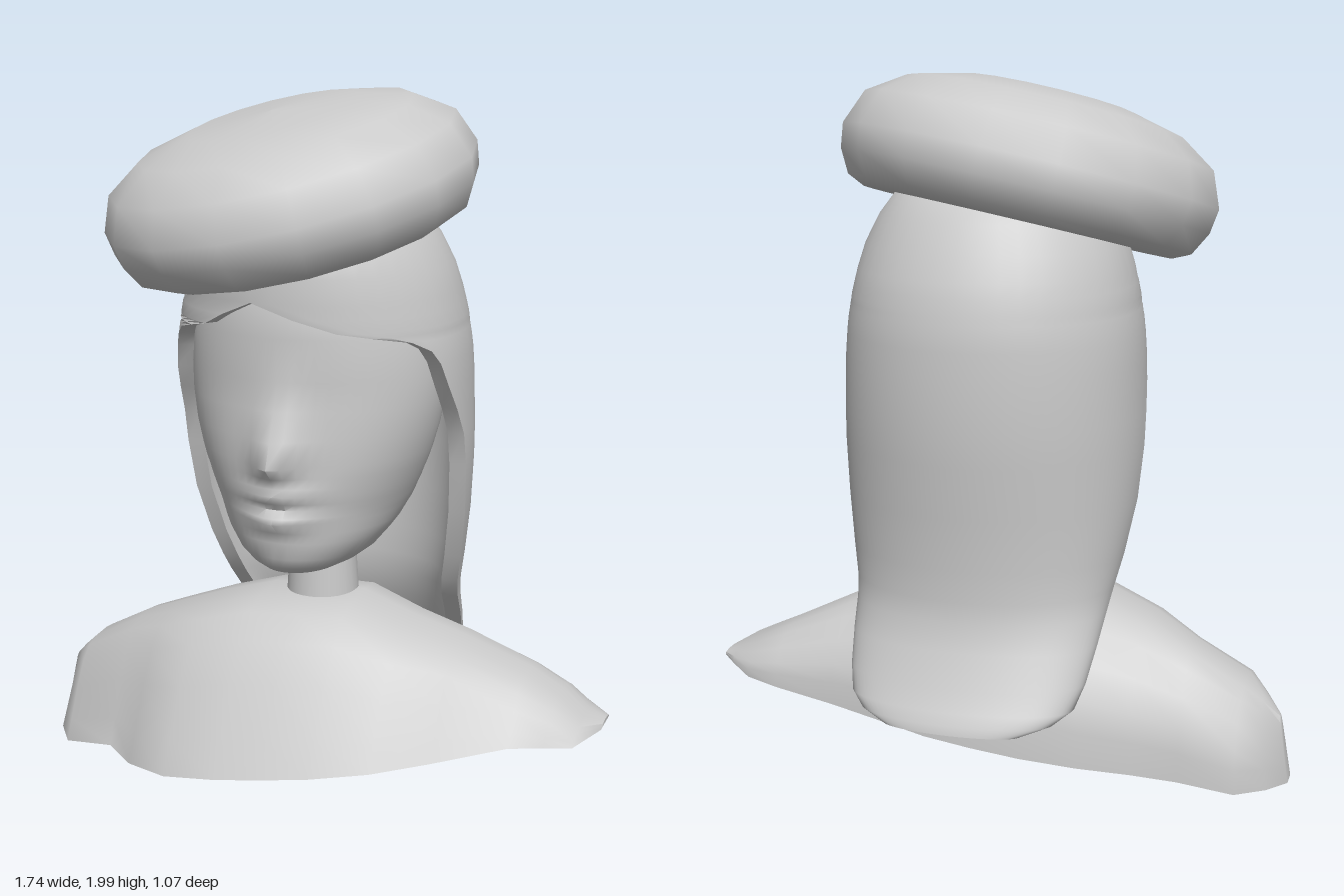
import * as THREE from 'three';
import { toCreasedNormals } from 'three/addons/utils/BufferGeometryUtils.js';

const material = new THREE.MeshStandardMaterial({ color: 0xcccccc });

// Skin closed rings of [x, y, z] points; rings run counter-clockwise about the loft direction.
function loft(rings, { caps = true, crease = 0.9 } = {}) {
  const n = rings[0].length, pos = rings.flat(2), idx = [];
  for (let i = 0; i < rings.length - 1; i++) {
    for (let j = 0; j < n; j++) {
      const a = i * n + j, b = i * n + (j + 1) % n;
      idx.push(a, b, b + n, a, b + n, a + n);
    }
  }
  if (caps) {
    [0, rings.length - 1].forEach((r, end) => {
      const centre = pos.length / 3;
      for (let k = 0; k < 3; k++) pos.push(rings[r].reduce((s, p) => s + p[k], 0) / n);
      for (let j = 0; j < n; j++) {
        const a = r * n + j, b = r * n + (j + 1) % n;
        idx.push(centre, end ? a : b, end ? b : a);
      }
    });
  }
  const geo = new THREE.BufferGeometry();
  geo.setAttribute('position', new THREE.Float32BufferAttribute(pos, 3));
  geo.setIndex(idx);
  return toCreasedNormals(geo, crease);
}

function add(group, name, geometry) {
  const mesh = new THREE.Mesh(geometry, material);
  mesh.name = name;
  group.add(mesh);
  return mesh;
}

// Head: [y, half width, front z, back z, depth of nose or lip on the centre line]
function headGeometry() {
  const rows = [
    [0.663, 0.06, 0.25, 0.12, 0], [0.67, 0.11, 0.275, 0.06, 0], [0.69, 0.155, 0.3, 0, 0],
    [0.72, 0.195, 0.315, -0.03, 0], [0.77, 0.235, 0.325, -0.07, 0], [0.8, 0.255, 0.325, -0.1, 0.005],
    [0.835, 0.272, 0.33, -0.13, 0.04], [0.85, 0.28, 0.33, -0.14, 0.035], [0.872, 0.29, 0.332, -0.16, 0.012],
    [0.89, 0.297, 0.335, -0.18, 0.02], [0.915, 0.308, 0.337, -0.2, 0.036], [0.935, 0.315, 0.338, -0.21, 0.022],
    [0.965, 0.327, 0.34, -0.23, 0.035], [1.0, 0.338, 0.34, -0.25, 0.075], [1.07, 0.357, 0.337, -0.28, 0.05],
    [1.15, 0.369, 0.33, -0.31, 0.022], [1.23, 0.372, 0.325, -0.33, 0.002], [1.35, 0.36, 0.335, -0.33, 0],
    [1.47, 0.32, 0.32, -0.31, 0], [1.6, 0.24, 0.25, -0.24, 0],
  ];
  const n = 64;
  return loft(rows.map(([y, w, front, back, bump]) => {
    const cz = Math.max(0, back + 0.3 * (front - back));
    const sigma = y > 0.95 ? 0.065 : 0.09;
    return Array.from({ length: n }, (_, j) => {
      const a = (j / n) * Math.PI * 2, c = Math.cos(a), x = w * Math.sin(a);
      const z = cz + c * (c > 0 ? front - cz : cz - back);
      return [0.01 + x, y, z + (c > 0 ? bump * Math.exp(-((x / sigma) ** 2)) : 0)];
    });
  }), { crease: 1.2 });
}

// Hair shell: [y, half width, front edge z, back z]; each section is a thick C open to the front
function hairGeometry() {
  const rows = [
    [0.215, 0.2, -0.47, -0.525], [0.24, 0.28, -0.42, -0.52], [0.27, 0.325, -0.37, -0.5],
    [0.33, 0.345, -0.32, -0.475], [0.42, 0.36, -0.25, -0.435], [0.5, 0.37, -0.18, -0.413],
    [0.56, 0.38, -0.14, -0.41], [0.65, 0.4, -0.1, -0.413], [0.8, 0.425, -0.05, -0.425],
    [0.95, 0.435, -0.02, -0.443], [1.05, 0.435, 0.0, -0.45], [1.13, 0.432, 0.04, -0.452],
    [1.2, 0.43, 0.08, -0.452], [1.27, 0.425, 0.11, -0.45], [1.31, 0.42, 0.14, -0.448],
    [1.34, 0.415, 0.19, -0.443], [1.36, 0.412, 0.27, -0.44], [1.375, 0.41, 0.32, -0.437],
    [1.41, 0.402, 0.355, -0.43], [1.45, 0.392, 0.37, -0.418], [1.52, 0.37, 0.37, -0.39],
    [1.6, 0.33, 0.36, -0.35], [1.66, 0.285, 0.3, -0.31], [1.74, 0.18, 0.18, -0.2],
  ];
  const n = 40;
  return loft(rows.map(([y, w, edge, back], i) => {
    const cz = Math.min(-0.03, edge);
    const front = y >= 1.45 ? edge - cz : 0.4;
    const open = y >= 1.45 ? Math.PI : Math.acos(-Math.min(1, (edge - cz) / front));
    const shift = 0.17 * THREE.MathUtils.clamp((y - 1.33) / 0.1, 0, 1);
    const thick = i === 0 ? 0 : Math.min(0.05, 0.02 * i);
    const arc = (t) => Array.from({ length: n + 1 }, (_, j) => {
      const a = open * (1 - (2 * j) / n) + shift, c = Math.cos(a);
      const depth = c > 0 ? cz - back - t : front - t;
      return [0.015 + (w - t) * Math.sin(a), y, cz - depth * Math.sign(c) * Math.abs(c) ** 0.92];
    });
    return [...arc(0), ...arc(thick).reverse()];
  }), { caps: false, crease: 1.1 });
}

// Shoulders: [x, top y, front z, back z], sections along x cut by a slanting base
function shouldersGeometry() {
  const rows = [
    [-0.87, 0.2, -0.03, -0.09], [-0.82, 0.25, 0.1, -0.17], [-0.74, 0.295, 0.215, -0.25],
    [-0.58, 0.38, 0.24, -0.255], [-0.45, 0.435, 0.37, -0.28], [-0.3, 0.49, 0.45, -0.32],
    [-0.14, 0.535, 0.46, -0.345], [0, 0.54, 0.45, -0.35], [0.14, 0.54, 0.43, -0.345],
    [0.3, 0.48, 0.38, -0.31], [0.45, 0.43, 0.29, -0.28], [0.64, 0.345, 0.16, -0.255],
    [0.74, 0.295, 0.15, -0.23], [0.82, 0.25, 0.14, -0.16], [0.87, 0.225, 0.0, -0.11],
  ];
  // unit arch from back to front: [depth, height]
  const arch = [[-1, 0], [-0.99, 0.25], [-0.95, 0.45], [-0.8, 0.68], [-0.6, 0.88], [-0.42, 0.98], [-0.2, 1],
    [0.1, 0.985], [0.32, 0.93], [0.5, 0.79], [0.68, 0.54], [0.87, 0.22], [1, 0]];
  return loft(rows.map(([x, top, front, back]) => {
    const base = 0.002 + 0.122 * (x + 0.87);
    const lean = x < -0.8 ? 0.03 : 0;
    return arch.map(([d, h]) => [
      x + lean * h, base + (top - base) * h, (front + back) / 2 + ((front - back) / 2) * d,
    ]);
  }));
}

// Soft round hat, turned about its axis and then tilted
function hatGeometry() {
  const profile = [[0, -0.1], [0.35, -0.115], [0.45, -0.158], [0.5, -0.135], [0.535, -0.07], [0.545, 0],
    [0.505, 0.1], [0.4, 0.17], [0.25, 0.208], [0, 0.222]].map(([r, y]) => new THREE.Vector2(r, y));
  return new THREE.LatheGeometry(profile, 16);
}

export function createModel() {
  const group = new THREE.Group();
  group.name = 'bust';
  add(group, 'shoulders', shouldersGeometry());
  add(group, 'neck', new THREE.CylinderGeometry(0.09, 0.112, 0.34, 24)).position.set(0.01, 0.63, -0.03);
  add(group, 'head', headGeometry());
  add(group, 'hair', hairGeometry());
  const hat = add(group, 'hat', hatGeometry());
  hat.position.set(-0.08, 1.725, 0);
  hat.quaternion.setFromUnitVectors(new THREE.Vector3(0, 1, 0), new THREE.Vector3(-0.19, 1, 0.19).normalize());
  return group;
}
